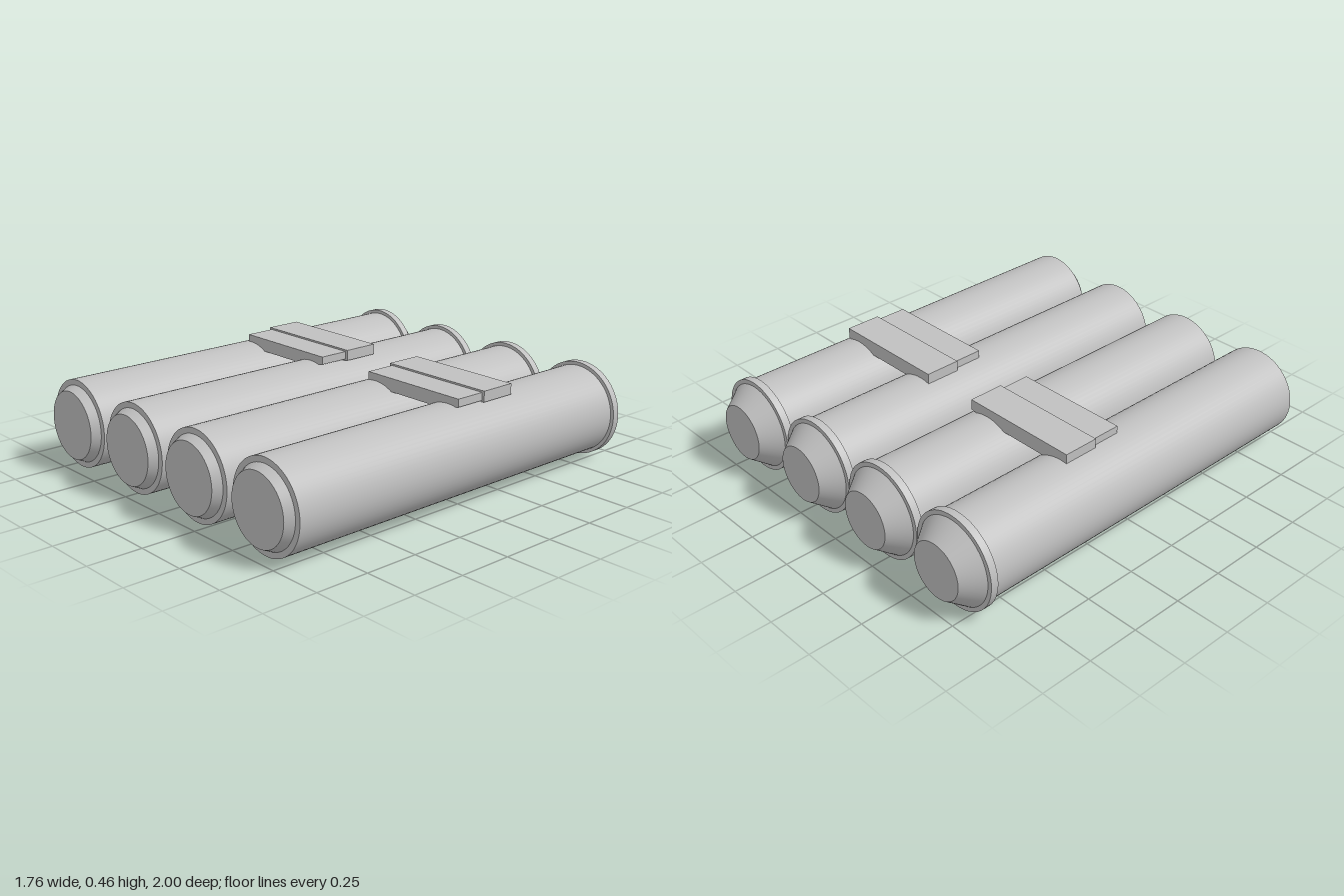
import * as THREE from 'three';

const TUBE_Y = 0.218;

export function createModel() {
  const model = new THREE.Group();
  const grey = new THREE.MeshStandardMaterial({ color: 0xc0c0c0 });
  grey.name = 'grey';

  // Round section along z, from zBack (radius rBack) to zFront (radius rFront)
  function section(name, zBack, rBack, zFront, rFront) {
    const geo = new THREE.CylinderGeometry(rFront, rBack, zFront - zBack, 64);
    geo.rotateX(Math.PI / 2);
    geo.translate(0, 0, (zBack + zFront) / 2);
    const mesh = new THREE.Mesh(geo, grey);
    mesh.name = name;
    return mesh;
  }

  // Four parallel tubes, each with a front cap, rear flange and rear cone
  [-0.66, -0.22, 0.22, 0.66].forEach((x, i) => {
    const tube = new THREE.Group();
    tube.name = 'tube' + (i + 1);
    tube.add(
      section('tubeBody', -0.88, 0.202, 0.96, 0.202),
      section('frontCap', 0.96, 0.176, 1, 0.157),
      section('rearFlange', -0.91, 0.218, -0.875, 0.218),
      section('rearCone', -1, 0.13, -0.91, 0.198)
    );
    tube.position.set(x, TUBE_Y, 0);
    model.add(tube);
  });

  // Plate with thin ends and a deeper middle that sinks between two tubes
  function plate(name, halfWidth, top, endBottom, zBack, zFront) {
    const shape = new THREE.Shape();
    shape.moveTo(-halfWidth, top);
    shape.lineTo(-halfWidth, endBottom);
    shape.lineTo(-halfWidth * 0.55, 0.392);
    shape.lineTo(halfWidth * 0.55, 0.392);
    shape.lineTo(halfWidth, endBottom);
    shape.lineTo(halfWidth, top);
    shape.closePath();
    const geo = new THREE.ExtrudeGeometry(shape, { depth: zFront - zBack, bevelEnabled: false });
    geo.translate(0, 0, zBack);
    const mesh = new THREE.Mesh(geo, grey);
    mesh.name = name;
    return mesh;
  }

  // Two brackets joining the tubes in pairs
  [-0.407, 0.45].forEach((x, i) => {
    const bracket = new THREE.Group();
    bracket.name = i ? 'leftBracket' : 'rightBracket';
    bracket.add(
      plate('rearPlate', 0.286, 0.461, 0.412, -0.33, -0.16),
      plate('frontPlate', 0.273, 0.453, 0.417, -0.16, -0.017)
    );
    bracket.position.x = x;
    model.add(bracket);
  });

  return model;
}
